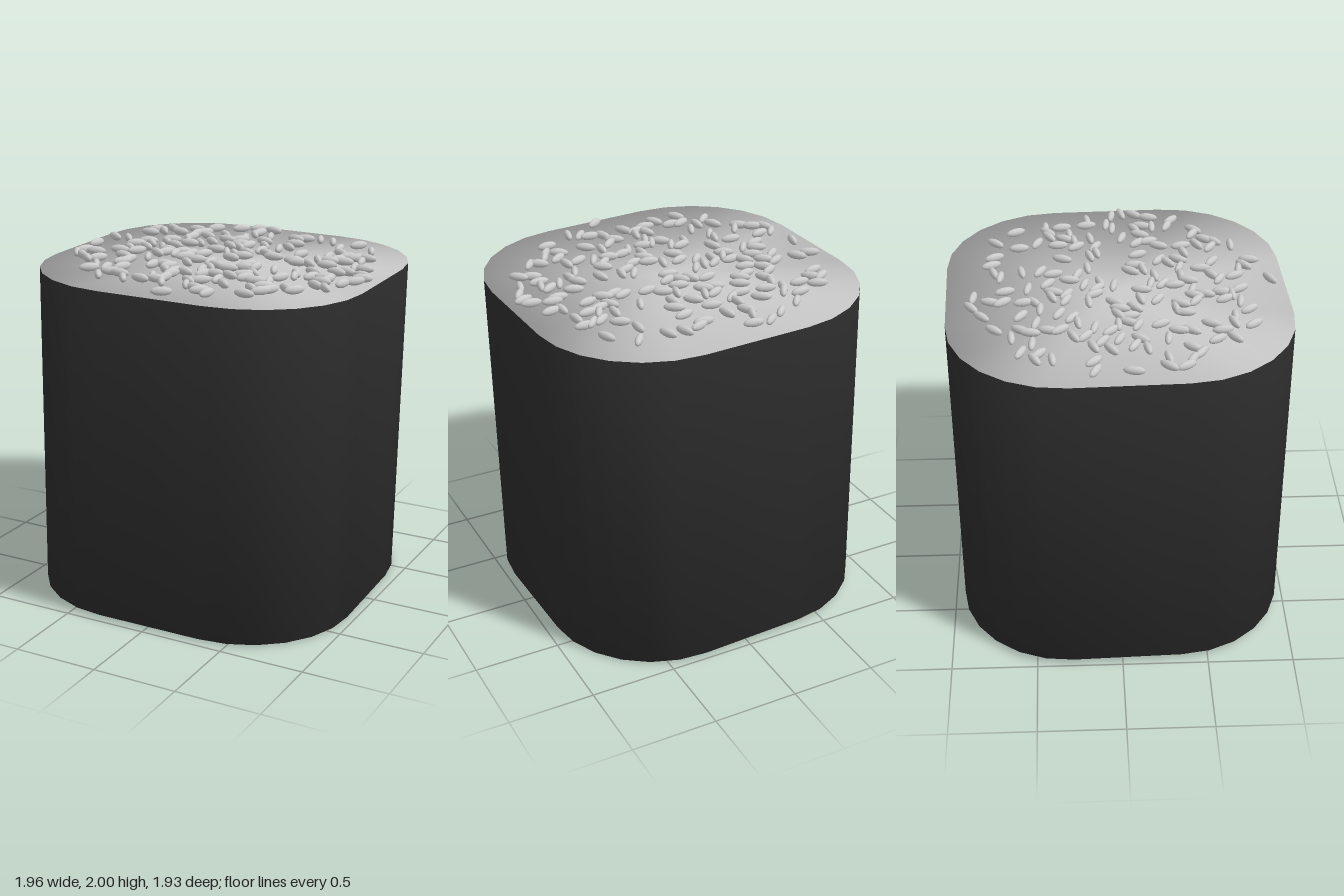
import * as THREE from 'three';

const HEIGHT = 1.92, HALF = 0.957, RADIUS = 0.642, CORNER_STEPS = 6;

// Rounded-square outline, ordered from +x towards +z
function outline() {
  const c = HALF - RADIUS, pts = [];
  [[c, c], [-c, c], [-c, -c], [c, -c]].forEach(([cx, cz], k) => {
    for (let i = 0; i <= CORNER_STEPS; i++) {
      const a = (k + i / CORNER_STEPS) * Math.PI / 2;
      pts.push([cx + RADIUS * Math.cos(a), cz + RADIUS * Math.sin(a)]);
    }
  });
  return pts;
}

// Small seeded generator for the seed scatter
function makeRandom(s) {
  return () => {
    s = (s * 16807) % 2147483647;
    return s / 2147483647;
  };
}

// Closed prism whose wrapper and filling share smooth normals along the rims
function buildRoll(wrapMaterial, fillMaterial) {
  const pts = outline(), n = pts.length, h = HEIGHT / 2;
  const pos = [], wall = [], top = [], bottom = [];
  for (const y of [h, -h]) pts.forEach(([x, z]) => pos.push(x, y, z));
  pos.push(0, h, 0, 0, -h, 0);
  for (let i = 0; i < n; i++) {
    const j = (i + 1) % n;
    wall.push(i, j, n + i, j, n + j, n + i);
    top.push(2 * n, j, i);
    bottom.push(2 * n + 1, n + i, n + j);
  }
  const whole = new THREE.BufferGeometry();
  whole.setAttribute('position', new THREE.Float32BufferAttribute(pos, 3));
  whole.setIndex([...wall, ...top, ...bottom]);
  whole.computeVertexNormals();

  const group = new THREE.Group();
  group.name = 'roll';
  const part = (name, index, material) => {
    const mesh = new THREE.Mesh(whole.clone().setIndex(index), material);
    mesh.name = name;
    group.add(mesh);
  };
  part('seaweedWrapper', wall, wrapMaterial);
  part('riceTop', top, fillMaterial);
  part('riceBottom', bottom, fillMaterial);
  return group;
}

// Flattened oval seeds lying on the top face, without crowding each other
function buildSeeds(material) {
  const group = new THREE.Group();
  group.name = 'sesameSeeds';
  const geometry = new THREE.SphereGeometry(1, 12, 8).scale(0.06, 0.025, 0.021);
  const random = makeRandom(4711), placed = [];
  for (let tries = 0; placed.length < 170 && tries < 5000; tries++) {
    const r = 0.88 * Math.pow(random(), 0.55), a = random() * Math.PI * 2;
    const x = r * Math.cos(a), z = r * Math.sin(a);
    if (placed.some(p => Math.hypot(p[0] - x, p[1] - z) < 0.055)) continue;
    placed.push([x, z]);
    const seed = new THREE.Mesh(geometry, material);
    seed.name = 'sesameSeed';
    seed.position.set(x, HEIGHT / 2 + 0.025, z);
    seed.rotation.y = random() * Math.PI;
    group.add(seed);
  }
  return group;
}

export function createModel() {
  const grey = new THREE.MeshStandardMaterial({ color: 0xcccccc });
  const dark = new THREE.MeshStandardMaterial({ color: 0x2a2a2a });

  // The whole piece stands slightly turned and tilted
  const piece = new THREE.Group();
  piece.name = 'sushiPiece';
  piece.add(buildRoll(dark, grey), buildSeeds(grey));
  piece.rotation.set(0, 0.032, -0.0165, 'ZYX');
  piece.position.y = 0.975;

  const model = new THREE.Group();
  model.name = 'sushiRoll';
  model.add(piece);
  return model;
}
